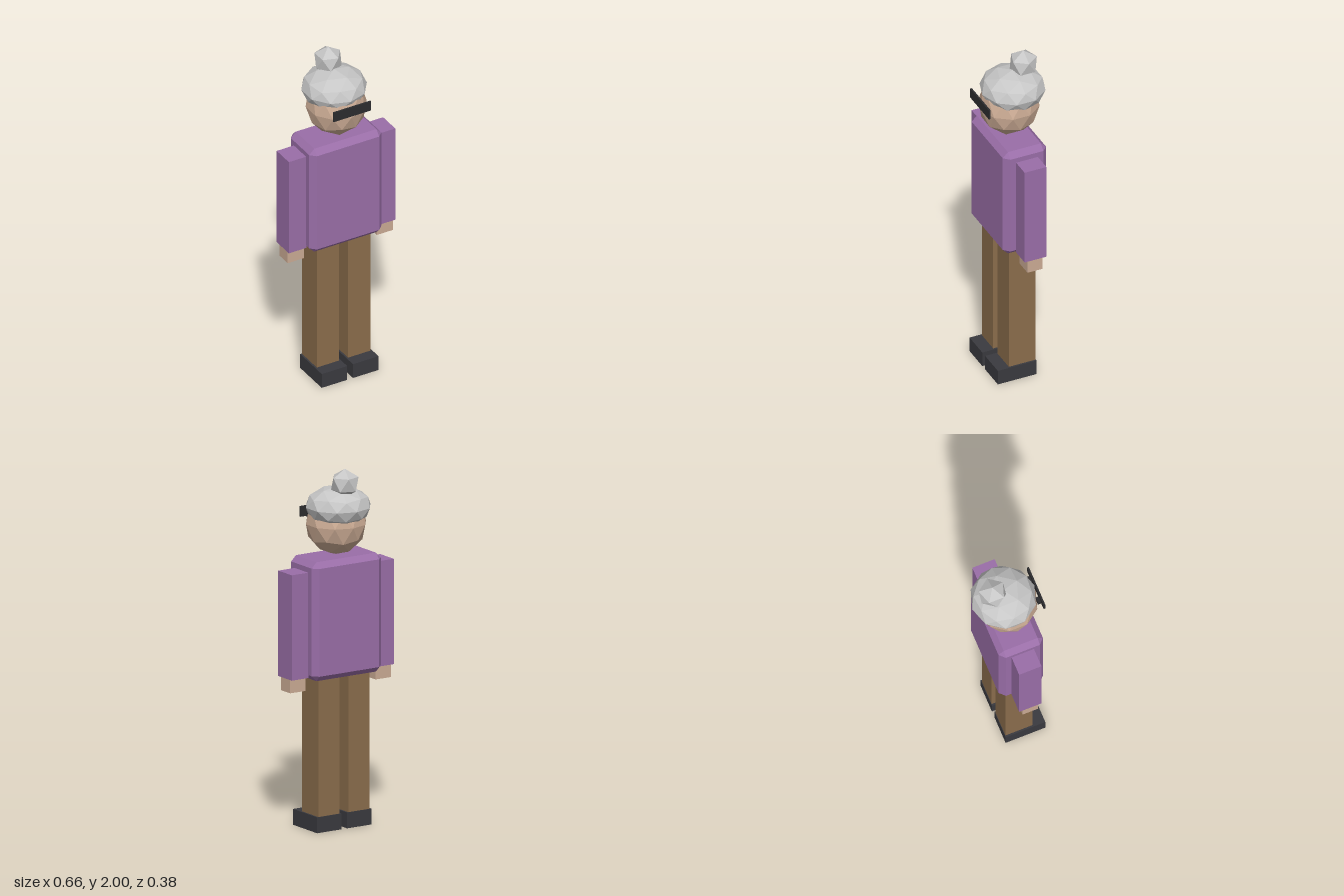
import * as THREE from 'three';
import { ConvexGeometry } from 'three/addons/geometries/ConvexGeometry.js';

function material(name, color) {
  const m = new THREE.MeshStandardMaterial({ color });
  m.name = name;
  return m;
}

// Box given by its limits on each axis
function box([x0, x1], [y0, y1], [z0, z1]) {
  return new THREE.BoxGeometry(x1 - x0, y1 - y0, z1 - z0)
    .translate((x0 + x1) / 2, (y0 + y1) / 2, (z0 + z1) / 2);
}

// Box with flat bevels along every edge: three points at each corner
function bevelledBox(w, h, d, bevel) {
  const points = [];
  for (const sx of [-1, 1]) for (const sy of [-1, 1]) for (const sz of [-1, 1]) {
    for (let axis = 0; axis < 3; axis++) {
      const inset = [bevel, bevel, bevel];
      inset[axis] = 0;
      points.push(new THREE.Vector3(
        sx * (w / 2 - inset[0]), sy * (h / 2 - inset[1]), sz * (d / 2 - inset[2])));
    }
  }
  return new ConvexGeometry(points);
}

// Faceted ball with one icosahedron corner at the top
function facetedBall(rx, ry, rz, detail) {
  const g = new THREE.IcosahedronGeometry(1, detail)
    .rotateX(-Math.atan((1 + Math.sqrt(5)) / 2))
    .rotateY(Math.PI / 2)
    .scale(rx, ry, rz);
  g.computeVertexNormals();
  return g;
}

export function createModel() {
  const model = new THREE.Group();
  model.name = 'figure';

  const sweater = material('purple sweater', 0x9a6ea8);
  const trousers = material('brown trousers', 0x8b6d4c);
  const skin = material('skin', 0xcbab94);
  const hairGrey = material('grey hair', 0xc6c6c6);
  const leather = material('dark shoe', 0x3a3a3f);
  const black = material('black frame', 0x2c2c2e);

  function add(name, geometry, mat) {
    const mesh = new THREE.Mesh(geometry, mat);
    mesh.name = name;
    model.add(mesh);
    return mesh;
  }

  // Torso
  add('torso', bevelledBox(0.45, 0.66, 0.259, 0.031), sweater).position.set(0, 1.18, 0.0125);

  // Head, hair cap and bun
  add('head', facetedBall(0.168, 0.175, 0.168, 1), skin).position.set(0, 1.685, 0.0125);
  add('hair', facetedBall(0.181, 0.111, 0.181, 1), hairGrey).position.set(0, 1.782, -0.009);
  add('bun', facetedBall(0.083, 0.08, 0.083, 0), hairGrey).position.set(0, 1.92, -0.073);

  // Glasses
  add('glasses', box([-0.117, 0.117], [1.698, 1.756], [0.178, 0.188]), black);

  // Paired parts
  for (const [side, s] of [['left', 1], ['right', -1]]) {
    const pair = (name, x, y, z, mat) =>
      add(side + name, box(s > 0 ? x : [-x[1], -x[0]], y, z), mat);
    pair('Eye', [0.048, 0.08], [1.692, 1.724], [0.16, 0.178], black);
    pair('Arm', [0.222, 0.332], [0.865, 1.45], [-0.053, 0.077], sweater);
    pair('Hand', [0.228, 0.328], [0.79, 0.87], [-0.032, 0.058], skin);
    pair('Leg', [0.028, 0.167], [0.05, 0.87], [-0.065, 0.093], trousers);
    pair('Shoe', [0.018, 0.177], [0, 0.088], [-0.068, 0.163], leather);
  }
  return model;
}
